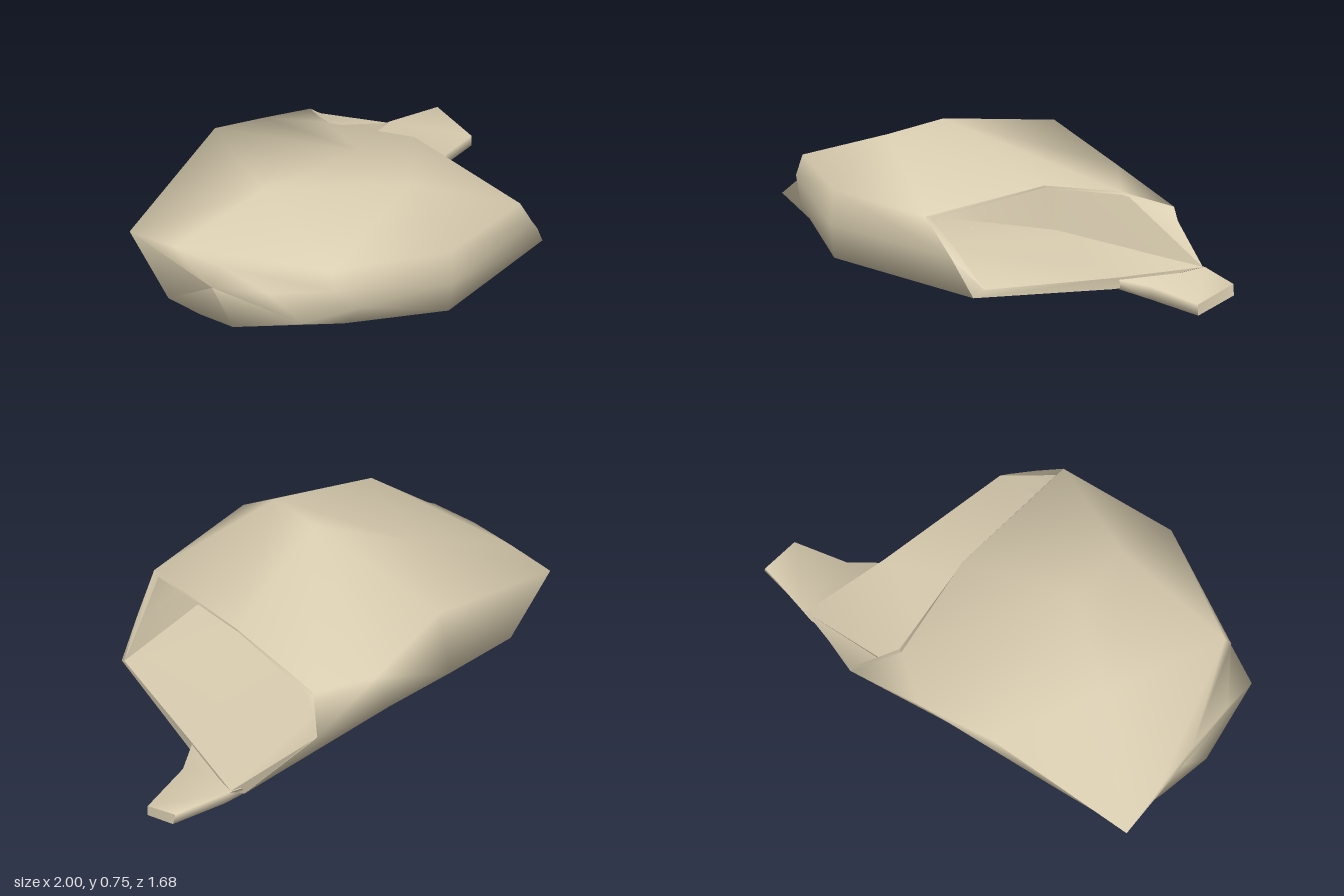
import * as THREE from 'three';
import { toCreasedNormals } from 'three/addons/utils/BufferGeometryUtils.js';

// Skin a list of equal-length rings; the last one may be closed with a flat cap.
function loft(rings, capEnd) {
  const n = rings[0].length, pos = rings.flat(2), index = [];
  for (let i = 0; i < rings.length - 1; i++) {
    for (let j = 0; j < n; j++) {
      const k = (j + 1) % n;
      const a = i * n + j, b = i * n + k, c = b + n, d = a + n;
      index.push(a, b, c, a, c, d);
    }
  }
  if (capEnd) {
    // the cap gets its own corners so its border stays sharp
    const last = rings[rings.length - 1], start = pos.length / 3;
    pos.push(...last.flat(), ...centre(last));
    for (let j = 0; j < n; j++) index.push(start + n, start + j, start + (j + 1) % n);
  }
  const g = new THREE.BufferGeometry();
  g.setAttribute('position', new THREE.Float32BufferAttribute(pos, 3));
  g.setIndex(index);
  g.computeVertexNormals();
  return g;
}

function centre(ring) {
  return [0, 1, 2].map(a => ring.reduce((s, p) => s + p[a], 0) / ring.length);
}

// Shrink a ring about its own middle and slide it along x
function shrink(ring, f, dx = 0) {
  const c = centre(ring);
  return ring.map(p => p.map((v, a) => c[a] + (v - c[a]) * f + (a === 0 ? dx : 0)));
}

export function createModel() {
  const group = new THREE.Group();
  group.name = 'hollowShell';
  const bone = new THREE.MeshStandardMaterial({ color: 0xd9cdb0, side: THREE.DoubleSide });
  bone.name = 'pale bone';
  const add = (name, geometry) => {
    const mesh = new THREE.Mesh(geometry, bone);
    mesh.name = name;
    group.add(mesh);
  };

  // Rings run: back edge, top back, top, front upper, front lower, bottom front, bottom, bottom back
  const blunt = [[-1, .48, .02], [-.88, .485, .23], [-.76, .475, .45], [-.64, .43, .68],
    [-.55, .34, .84], [-.74, .2, .53], [-.79, .15, .3], [-.83, .11, .06]];
  const rear = [[-.4, .64, -.36], [-.42, .63, .18], [-.38, .54, .79], [-.38, .45, .82],
    [-.25, .34, .83], [-.28, .19, .7], [-.46, .2, .36], [-.5, .14, -.16]];
  const middle = [[-.06, .49, -.56], [.02, .75, .25], [.12, .71, .53], [.2, .49, .8],
    [.2, .33, .81], [.19, .18, .79], [.1, .18, .3], [-.17, .17, -.37]];
  const rim = [[.25, .35, -.74], [.21, .42, -.51], [.45, .51, -.1], [.68, .44, .5],
    [.78, .27, .41], [.87, .1, .33], [.73, .085, -.35], [.58, .1, -.74]];
  // Inner edge of the opening, leaving a narrow lip
  const lip = [[.27, .33, -.73], [.23, .41, -.51], [.45, .5, -.1], [.67, .43, .46],
    [.77, .28, .37], [.87, .135, .28], [.73, .135, -.35], [.65, .15, -.77]];

  // Outer wall, rounded over at the blunt end
  add('outerShell', loft([shrink(blunt, 0), blunt, rear, middle, rim], false));

  // Lip and thin-walled cavity behind the opening
  add('innerCavity', toCreasedNormals(loft([rim, lip, shrink(middle, .9), shrink(rear, .85),
    shrink(blunt, .7, .12)], true), 1));

  // Spout reaching out from the lower lip; rings run: back top, front top, front bottom, back bottom
  add('spout', loft([
    [[.6, .15, -.765], [.71, .13, -.34], [.72, .085, -.36], [.57, .1, -.73]],
    [[.66, .15, -.78], [.8, .1, -.5], [.78, .04, -.5], [.67, .08, -.76]],
    [[.92, .12, -.84], [1, .05, -.66], [1, 0, -.66], [.93, .07, -.84]],
  ], true));

  return group;
}
